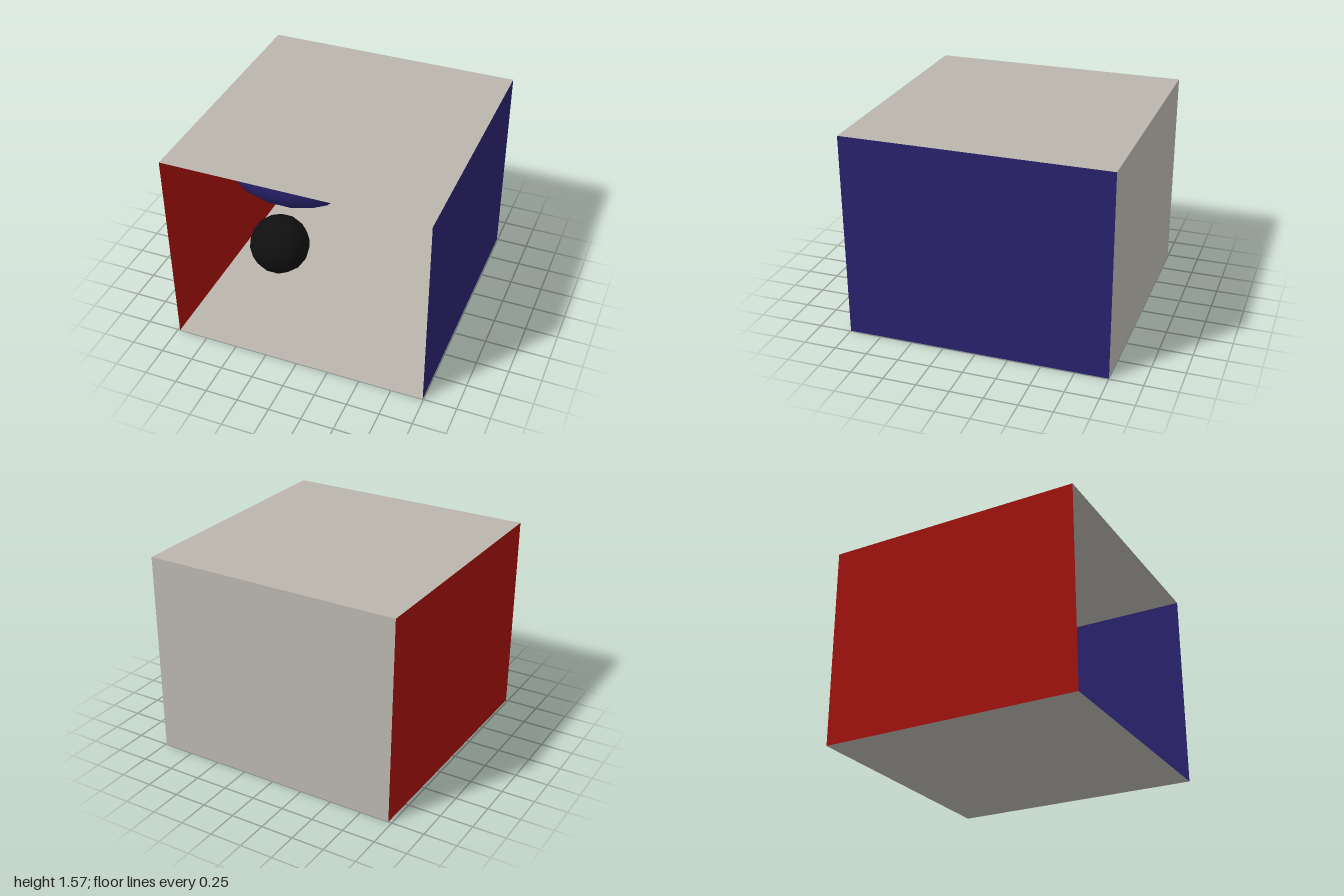
import * as THREE from 'three';

// Single-sheet wall from four corners listed around its edge
function panel(name, color, corners) {
  const geometry = new THREE.BufferGeometry();
  geometry.setAttribute('position', new THREE.Float32BufferAttribute(corners.flat(), 3));
  geometry.setIndex([0, 1, 2, 0, 2, 3]);
  geometry.computeVertexNormals();
  const mesh = new THREE.Mesh(geometry, new THREE.MeshStandardMaterial({ color, side: THREE.DoubleSide }));
  mesh.name = name;
  return mesh;
}

// Coarse ball with smooth normals, stretched to the given half sizes
function ball(name, color, center, half) {
  const geometry = new THREE.IcosahedronGeometry(1, 2);
  geometry.scale(...half);
  const mesh = new THREE.Mesh(geometry, new THREE.MeshStandardMaterial({ color }));
  mesh.name = name;
  mesh.position.set(...center);
  return mesh;
}

export function createModel() {
  const white = 0xb9b5ad, red = 0xa1110d, blue = 0x29226d, black = 0x101010;
  const W = 0.994, H = 1.57;

  // Corners: the red wall leans inwards slightly towards the floor
  const floorFR = [-0.983, 0, 1], floorBR = [-0.972, 0, -1];
  const floorFL = [W, 0, 1], floorBL = [W, 0, -1];
  const topFR = [-W, H, 1], topBR = [-W, H, -1];
  const topFL = [W, H, 1], topBL = [W, H, -1];

  const group = new THREE.Group();
  group.name = 'openRoom';
  group.add(
    // Room shell, open at the front
    panel('floor', white, [floorFR, floorFL, floorBL, floorBR]),
    panel('ceiling', white, [topFR, topBR, topBL, topFL]),
    panel('backWall', white, [floorBR, floorBL, topBL, topBR]),
    panel('redWall', red, [floorFR, floorBR, topBR, topFR]),
    panel('blueWall', blue, [floorBL, floorFL, topFL, topBL]),
    // Objects in the room
    ball('blackSphere', black, [-0.57, 0.25, 0.02], [0.245, 0.245, 0.245]),
    ball('blueEllipsoid', blue, [-0.48, 0.957, 0.02], [0.485, 0.247, 0.247])
  );
  return group;
}
